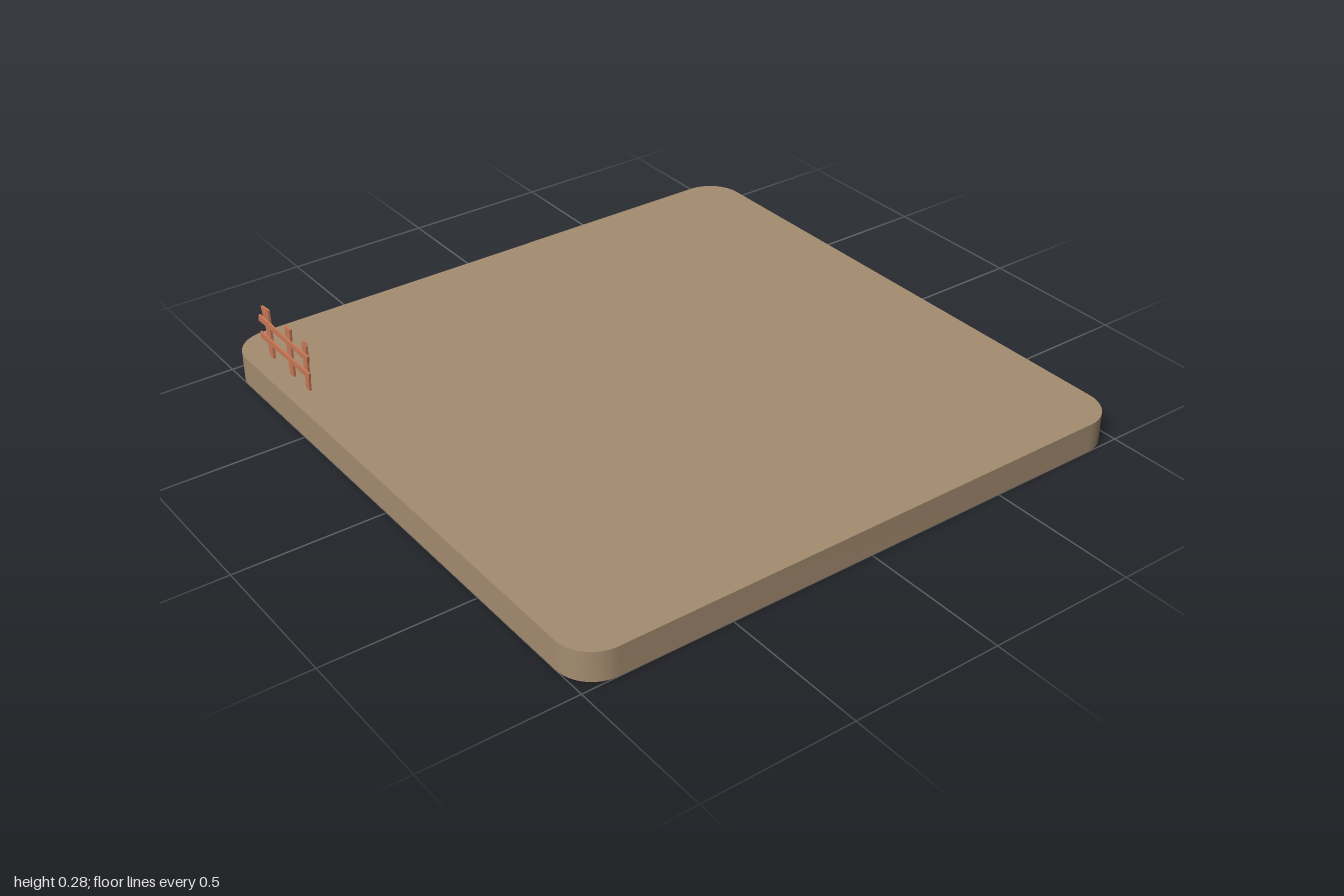
import * as THREE from 'three';
import { toCreasedNormals } from 'three/addons/utils/BufferGeometryUtils.js';

const earth = new THREE.MeshStandardMaterial({ color: 0xa58d70 });
const wood = new THREE.MeshStandardMaterial({ color: 0xc87858 });

// Flat board cut from an outline of [x, y] corners, spanning z0 to z1
function board(name, corners, z0, z1) {
  const shape = new THREE.Shape(corners.map(([x, y]) => new THREE.Vector2(x, y)));
  const geometry = new THREE.ExtrudeGeometry(shape, { depth: z1 - z0, bevelEnabled: false });
  geometry.translate(0, 0, z0);
  const mesh = new THREE.Mesh(geometry, wood);
  mesh.name = name;
  return mesh;
}

// Square slab with rounded corners
function createSlab(half, radius, height) {
  const shape = new THREE.Shape();
  const c = half - radius;
  [[c, c], [-c, c], [-c, -c], [c, -c]].forEach(([x, y], i) =>
    shape.absarc(x, y, radius, i * Math.PI / 2, (i + 1) * Math.PI / 2, false));
  const geometry = new THREE.ExtrudeGeometry(shape, { depth: height, bevelEnabled: false, curveSegments: 12 });
  geometry.rotateX(-Math.PI / 2);
  const slab = new THREE.Mesh(toCreasedNormals(geometry, Math.PI / 6), earth);
  slab.name = 'groundSlab';
  return slab;
}

// Crooked picket fence: uneven posts with two rails nailed across the front
function createFence() {
  const fence = new THREE.Group();
  fence.name = 'fence';
  const posts = [
    [[-0.85, 0.095], [-0.823, 0.095], [-0.829, 0.275], [-0.878, 0.27], [-0.858, 0.2]],
    [[-0.713, 0.095], [-0.687, 0.095], [-0.688, 0.2], [-0.682, 0.272], [-0.715, 0.272], [-0.718, 0.2]],
    [[-0.607, 0.095], [-0.584, 0.095], [-0.58, 0.26], [-0.586, 0.273], [-0.6, 0.273], [-0.608, 0.25]],
  ];
  posts.forEach((corners, i) => fence.add(board('post' + (i + 1), corners, 0.922, 0.93)));
  const rails = [
    [[-0.885, 0.152], [-0.72, 0.156], [-0.565, 0.152], [-0.562, 0.174], [-0.72, 0.172], [-0.888, 0.175]],
    [[-0.89, 0.214], [-0.72, 0.218], [-0.564, 0.215], [-0.56, 0.236], [-0.72, 0.234], [-0.886, 0.237]],
  ];
  rails.forEach((corners, i) => fence.add(board(['lowerRail', 'upperRail'][i], corners, 0.93, 0.937)));
  return fence;
}

export function createModel() {
  const model = new THREE.Group();
  model.name = 'fencedGround';
  model.add(createSlab(1, 0.12, 0.1), createFence());
  return model;
}
